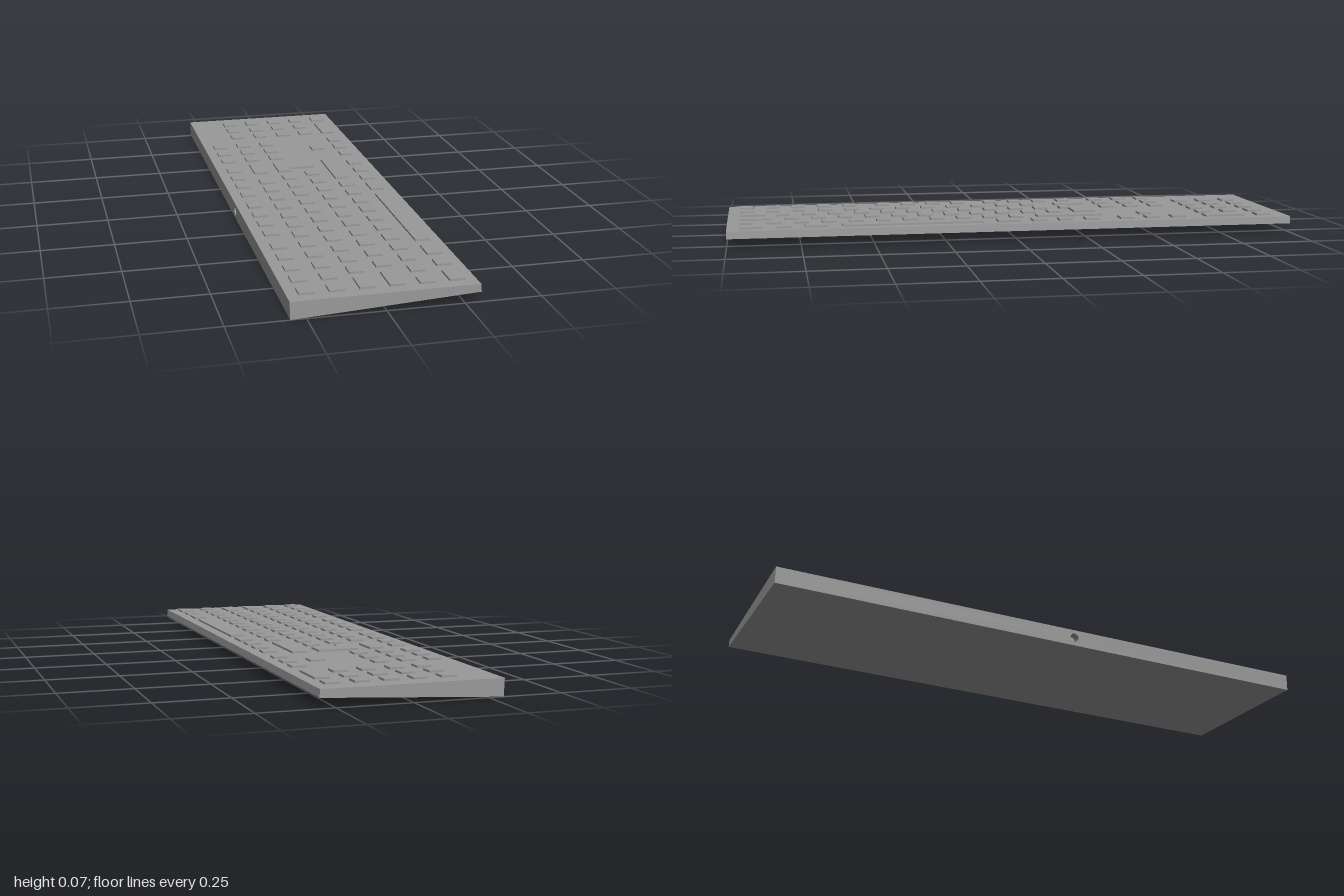
import * as THREE from 'three';

const TOP = 0.061, KEY_TOP = 0.068;

export function createModel() {
  const group = new THREE.Group();
  const grey = new THREE.MeshStandardMaterial({ color: 0x999999 });
  grey.name = 'grey';

  const add = (parent, geometry, name) => {
    const mesh = new THREE.Mesh(geometry, grey);
    mesh.name = name;
    parent.add(mesh);
    return mesh;
  };

  // Wedge case: section corners (x, y), clockwise seen from the front
  const section = [[-0.302, TOP], [0.3, TOP], [0.302, 0.035], [-0.3, 0.002]];
  const pos = [];
  const quad = (a, b, c, d) => pos.push(...a, ...b, ...c, ...a, ...c, ...d);
  for (let i = 0; i < 3; i++) { // top, thin edge, underside
    const p = section[i], q = section[i + 1];
    quad([...p, 1], [...q, 1], [...q, -1], [...p, -1]);
  }
  const [a, b, c, d] = section;
  quad([...d, 1], [...c, 1], [...b, 1], [...a, 1]);
  quad([...a, -1], [...b, -1], [...c, -1], [...d, -1]);
  const caseGeometry = new THREE.BufferGeometry();
  caseGeometry.setAttribute('position', new THREE.Float32BufferAttribute(pos, 3));
  caseGeometry.computeVertexNormals();
  add(group, caseGeometry, 'case');

  // Thick edge with a round cable hole
  const holeZ = 0.09, holeY = 0.032, holeR = 0.016;
  const wall = new THREE.Shape();
  wall.moveTo(-1, 0.002).lineTo(1, 0.002).lineTo(1, TOP).lineTo(-1, TOP).closePath();
  wall.holes.push(new THREE.Path().absarc(holeZ, holeY, holeR, 0, Math.PI * 2, true));
  const wallGeometry = new THREE.ShapeGeometry(wall, 16).rotateY(-Math.PI / 2);
  const wp = wallGeometry.attributes.position;
  for (let i = 0; i < wp.count; i++) {
    wp.setX(i, -0.3 - 0.002 * (wp.getY(i) - 0.002) / (TOP - 0.002));
  }
  wallGeometry.computeVertexNormals();
  add(group, wallGeometry, 'cableWall');

  // Inside of the cable hole, its profile running so that the faces look inwards
  const socket = new THREE.LatheGeometry(
    [[0, 0.03], [holeR, 0.03], [holeR, 0]].map(([r, y]) => new THREE.Vector2(r, y)), 16).toNonIndexed();
  socket.computeVertexNormals();
  socket.rotateZ(-Math.PI / 2);
  add(group, socket, 'cableSocket').position.set(-0.301, holeY, holeZ);

  // Keys
  const keys = new THREE.Group();
  keys.name = 'keys';
  group.add(keys);
  const SIZE = 0.05, PITCH = 0.0955, HEIGHT = KEY_TOP - TOP + 0.002;
  const key = (row, z, length = SIZE, name = 'key') => {
    add(keys, new THREE.BoxGeometry(SIZE, HEIGHT, length), name)
      .position.set(-0.24 + row * PITCH, KEY_TOP - HEIGHT / 2, z);
  };
  const run = (row, start, count) => {
    for (let i = 0; i < count; i++) key(row, start + i * PITCH);
  };

  // Rear row, in groups
  run(0, -0.594, 3);
  run(0, -0.276, 4);
  run(0, 0.138, 4);
  run(0, 0.552, 5);

  // Number pad and navigation block
  for (let row = 1; row <= 4; row++) run(row, -0.912, 3);
  key(5, -0.912);
  key(5, -0.769, 0.148, 'longPadKey');
  run(1, -0.594, 3);
  run(2, -0.594, 3);
  key(4, -0.499);
  run(5, -0.594, 3);

  // Main block
  run(1, -0.117, 12);
  key(1, -0.276, 0.111, 'backspaceKey');
  run(2, -0.149, 11);
  key(2, 0.912, 0.09, 'tabKey');
  run(3, -0.18, 11);
  key(3, 0.902, 0.111, 'capsKey');
  run(4, -0.021, 11);
  key(4, -0.215, 0.24, 'shiftKey');

  // Bottom row
  run(5, -0.276, 3);
  key(5, 0.024, 0.08, 'rightModifierKey');
  key(5, 0.36, 0.493, 'spaceBar');
  key(5, 0.695, 0.08, 'leftModifierKey');
  key(5, 0.806);
  key(5, 0.919, 0.08, 'cornerKey');

  // L-shaped enter key, drawn as (x, -z) and laid flat
  const enter = new THREE.Shape([
    [-0.075, 0.331], [-0.075, 0.22], [-0.025, 0.22],
    [-0.025, 0.252], [0.071, 0.252], [0.071, 0.331],
  ].map(([x, y]) => new THREE.Vector2(x, y)));
  add(keys, new THREE.ExtrudeGeometry(enter, { depth: HEIGHT, bevelEnabled: false })
    .rotateX(-Math.PI / 2), 'enterKey').position.y = KEY_TOP - HEIGHT;

  return group;
}
